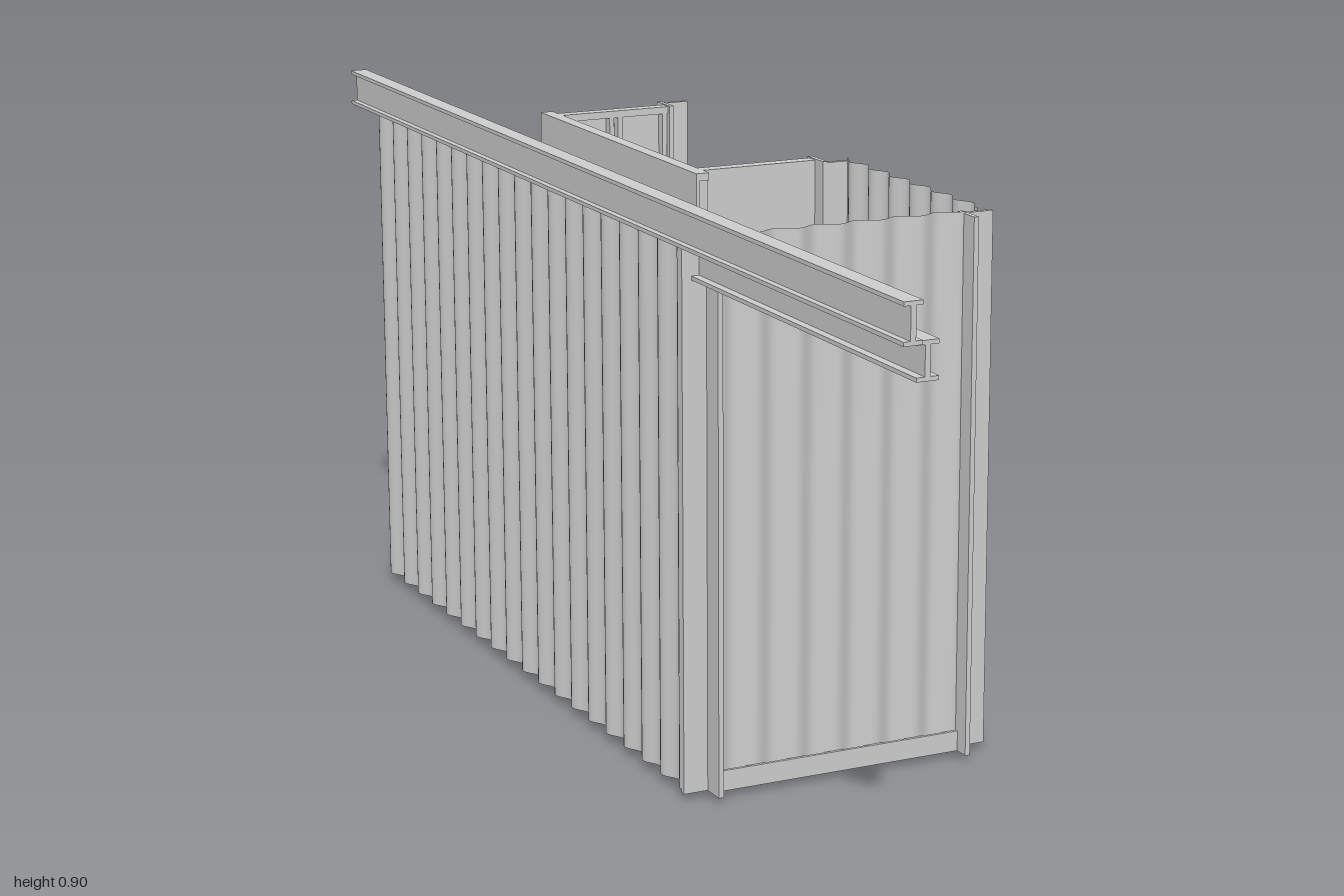
import * as THREE from 'three';

const mat = new THREE.MeshStandardMaterial({ color: 0xcccccc });
const sheetMat = new THREE.MeshStandardMaterial({ color: 0xcccccc, side: THREE.DoubleSide });
const PITCH = 0.067, AMP = 0.007;

export function createModel() {
  const model = new THREE.Group();
  model.name = 'panelEnclosure';

  const group = (name, parent = model) => {
    const g = new THREE.Group();
    g.name = name;
    parent.add(g);
    return g;
  };

  // Box given by its two corners
  function bar(parent, name, x0, x1, y0, y1, z0, z1) {
    const mesh = new THREE.Mesh(new THREE.BoxGeometry(x1 - x0, y1 - y0, z1 - z0), mat);
    mesh.position.set((x0 + x1) / 2, (y0 + y1) / 2, (z0 + z1) / 2);
    mesh.name = name;
    parent.add(mesh);
  }

  // Corrugated sheet running along 'x' or 'z' at a fixed offset on the other axis
  function corrugated(parent, name, axis, offset, a, b, y0, y1) {
    const geo = new THREE.PlaneGeometry(b - a, y1 - y0, Math.ceil((b - a) / PITCH * 12), 1);
    const p = geo.attributes.position;
    for (let i = 0; i < p.count; i++) {
      const t = p.getX(i) + (a + b) / 2;
      const y = p.getY(i) + (y0 + y1) / 2;
      const w = offset + AMP * Math.cos(t / PITCH * Math.PI * 2);
      if (axis === 'x') p.setXYZ(i, t, y, w);
      else p.setXYZ(i, w, y, t);
    }
    geo.computeVertexNormals();
    const mesh = new THREE.Mesh(geo, sheetMat);
    mesh.name = name;
    parent.add(mesh);
  }

  // I-section rail along z
  function rail(name, x0, x1, y0, y1, z0, z1) {
    const g = group(name), t = 0.006, c = (x0 + x1) / 2;
    bar(g, 'topFlange', x0, x1, y1 - t, y1, z0, z1);
    bar(g, 'bottomFlange', x0, x1, y0, y0 + t, z0, z1);
    bar(g, 'web', c - 0.004, c + 0.004, y0 + t, y1 - t, z0, z1);
  }

  // Flat panel: thin sheet on the outer side, with studs and tracks behind it.
  // out is the sign of the sheet side across the panel.
  function framedPanel(name, axis, c, a, b, out, y0 = 0.005, y1 = 0.845) {
    const g = group(name), d = 0.011, s = 0.012;
    const put = (n, t0, t1, u0, u1, w0, w1) => axis === 'x'
      ? bar(g, n, t0, t1, u0, u1, c + w0, c + w1)
      : bar(g, n, c + w0, c + w1, u0, u1, t0, t1);
    const sheet = out > 0 ? [d - 0.005, d] : [-d, -d + 0.005];
    put('sheet', a, b, y0, y1, ...sheet);
    put('topTrack', a, b, y1 - 0.012, y1, -d, d);
    put('bottomTrack', a, b, y0, y0 + 0.012, -d, d);
    const m = (a + b) / 2;
    for (const t of [a, m - s, m + s * 0.3, b - s])
      put('stud', t, t + s * 0.7, y0, y1, -d + 0.001, d - 0.001);
  }

  // Overhead rails
  rail('upperRail', -0.265, -0.237, 0.842, 0.9, -1, 1);
  rail('lowerRail', -0.235, -0.202, 0.788, 0.842, 0.14, 0.98);

  // Corrugated walls
  corrugated(model, 'longWall', 'z', -0.243, -0.94, 0.31, 0.015, 0.845);
  corrugated(model, 'frontWall', 'x', 0.315, -0.205, 0.21, 0.03, 0.85);

  // Window wall made of four pieces around the opening
  const win = group('windowWall');
  const pieces = [
    ['frontPiece', 0.245, 0.305, 0.03, 0.85],
    ['rearPiece', -0.135, -0.062, 0.03, 0.85],
    ['lowerPiece', -0.062, 0.245, 0.03, 0.445],
    ['upperPiece', -0.062, 0.245, 0.71, 0.85],
  ];
  for (const [n, a, b, y0, y1] of pieces) corrugated(win, n, 'z', 0.245, a, b, y0, y1);

  // Angle sills under the front and window walls
  const sills = group('sills');
  bar(sills, 'frontSill', -0.205, 0.21, 0.01, 0.042, 0.322, 0.327);
  bar(sills, 'frontSillFoot', -0.205, 0.21, 0.01, 0.015, 0.3, 0.325);
  bar(sills, 'sideSill', 0.252, 0.257, 0.01, 0.042, -0.135, 0.305);
  bar(sills, 'sideSillFoot', 0.23, 0.255, 0.01, 0.015, -0.135, 0.305);

  // Recess of flat framed panels
  framedPanel('recessBackPanel', 'z', 0, -0.76, -0.14, -1, 0);
  framedPanel('recessFrontPanel', 'x', -0.173, 0.011, 0.21, 1);
  framedPanel('recessRearPanel', 'x', -0.727, 0.011, 0.21, -1);

  // Folded corner posts: one flange along z, one along x
  function post(name, x, z0, z1, zArm, xEnd) {
    const g = group(name), t = 0.004;
    bar(g, 'sideFlange', x - t, x + t, 0.01, 0.847, z0, z1);
    bar(g, 'faceFlange', Math.min(x, xEnd), Math.max(x, xEnd), 0.01, 0.845, zArm - t, zArm + t);
  }
  post('frontLeftPost', 0.21, 0.302, 0.352, 0.306, 0.262);
  post('frontRightPost', -0.207, 0.306, 0.352, 0.31, -0.25);
  post('recessFrontPost', 0.212, -0.188, -0.134, -0.138, 0.256);
  post('recessRearPost', 0.212, -0.76, -0.71, -0.756, 0.262);

  return model;
}
